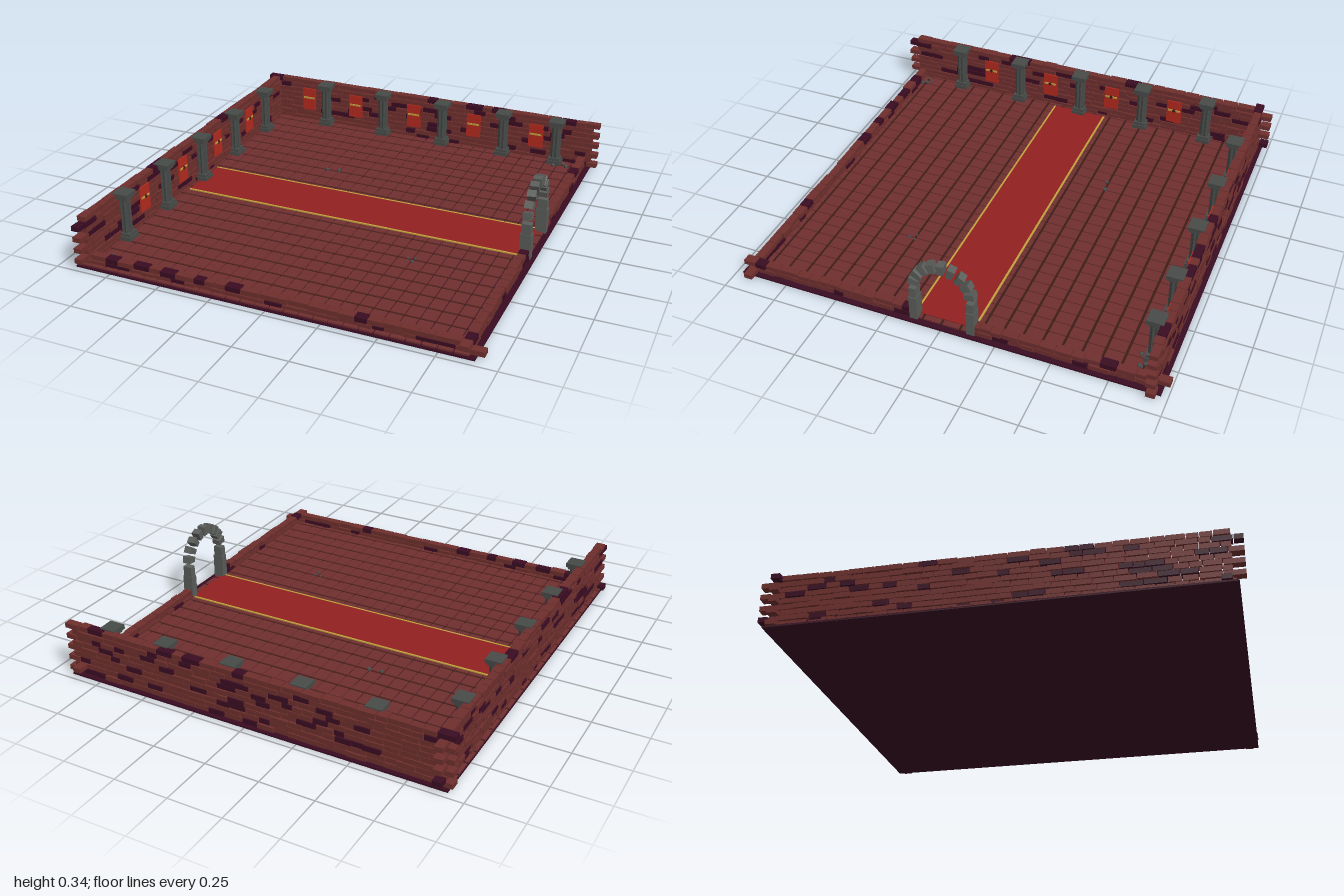
import * as THREE from 'three';
import { mergeGeometries } from 'three/addons/utils/BufferGeometryUtils.js';

const mat = (name, color, flatShading = false) => {
  const m = new THREE.MeshStandardMaterial({ color, flatShading });
  m.name = name;
  return m;
};

// Small seeded generator for irregular masonry
let seed = 7;
const rnd = () => {
  seed = (seed * 16807) % 2147483647;
  return seed / 2147483647;
};
const range = (a, b) => a + (b - a) * rnd();

const box = (w, h, d, x, y, z) => new THREE.BoxGeometry(w, h, d).translate(x, y, z);

export function createModel() {
  const M = {
    brick: mat('brick red', 0x6e2f2d),
    darkBrick: mat('dark purple brick', 0x3a0c22),
    tile: mat('floor tile', 0x702f2f),
    grout: mat('brown grout', 0x3c1c16),
    carpet: mat('carpet red', 0x922021),
    banner: mat('banner red', 0xb52a1e),
    gold: mat('gold', 0xc2a03c),
    stone: mat('grey stone', 0x474b48, true),
    lightStone: mat('arch stone', 0x5a5d59, true),
  };
  const model = new THREE.Group();
  model.name = 'throneHall';
  const add = (name, geos, material, parent = model) => {
    const mesh = new THREE.Mesh(Array.isArray(geos) ? mergeGeometries(geos) : geos, material);
    mesh.name = name;
    parent.add(mesh);
    return mesh;
  };

  // Floor slab, tiles and row joints
  add('baseSlab', box(1.82, 0.008, 1.94, -0.01, 0.004, 0), M.darkBrick);
  const tiles = [], joints = [];
  const x0 = -0.92, x1 = 0.875, z0 = -0.95, z1 = 0.965, cols = 27, rows = 22;
  const px = (x1 - x0) / cols, pz = (z1 - z0) / rows;
  for (let r = 0; r < rows; r++) {
    const z = z0 + (r + 0.5) * pz;
    for (let c = 0; c < cols; c++) {
      tiles.push(box(px - 0.006, 0.008, pz - 0.012, x0 + (c + 0.5) * px, 0.011, z));
    }
    if (r > 0) joints.push(box(x1 - x0, 0.004, 0.012, (x0 + x1) / 2, 0.009, z - pz / 2));
  }
  add('floorTiles', tiles, M.tile);
  add('floorJoints', joints, M.grout);

  // Carpet with gold borders
  add('carpet', box(1.69, 0.004, 0.265, 0, 0.017, 0), M.carpet);
  add('carpetTrim', [-1, 1].map(s => box(1.69, 0.005, 0.009, 0, 0.0175, s * 0.136)), M.gold);

  // Brick walls: courses with open joints and interlocking corners
  const pitch = 0.0265, gap = 0.004;
  const wall = (name, along, pos, courses, longSpan, shortSpan, parity, skip = 0) => {
    const red = [], dark = [];
    for (let r = 0; r < courses; r++) {
      const [a, b] = r % 2 === parity ? longSpan : shortSpan;
      const runs = skip ? [[a, -skip], [skip, b]] : [[a, b]];
      for (const [start, end] of runs) {
        let s = start;
        while (s < end - 0.001) {
          let len = range(0.045, 0.095);
          if (end - s - len < 0.035) len = end - s;
          const h = pitch - gap, y = 0.008 + r * pitch + h / 2;
          const d = range(0.034, 0.044), mid = s + len / 2, p = pos + range(-0.003, 0.003);
          const g = along === 'x'
            ? box(len - gap, h, d, mid, y, p)
            : box(d, h, len - gap, p, y, mid);
          (rnd() < 0.2 ? dark : red).push(g);
          s += len;
        }
      }
    }
    const group = new THREE.Group();
    group.name = name;
    add(name + 'RedBricks', red, M.brick, group);
    add(name + 'DarkBricks', dark, M.darkBrick, group);
    model.add(group);
  };
  const longX = [-0.935, 0.933], shortX = [-0.862, 0.834];
  const longZ = [-1, 1], shortZ = [-0.908, 0.9];
  wall('backWall', 'x', -0.93, 9, longX, [-0.862, 0.9], 0);
  wall('sideWall', 'z', -0.884, 9, longZ, [-0.908, 0.95], 1);
  wall('frontLowWall', 'x', 0.922, 2, longX, shortX, 0);
  wall('entranceLowWall', 'z', 0.856, 2, [-1, 0.975], shortZ, 1, 0.115);

  // Fluted pillars with stepped bases and capitals
  const pillar = (x, z) => {
    const shaft = new THREE.CylinderGeometry(0.024, 0.024, 0.19, 16, 1);
    const p = shaft.attributes.position;
    for (let i = 0; i < p.count; i++) {
      const a = Math.atan2(p.getX(i), p.getZ(i));
      const flute = Math.abs(Math.round(a / (Math.PI / 8))) % 2 ? 1.08 : 0.86;
      p.setXYZ(i, p.getX(i) * flute, p.getY(i), p.getZ(i) * flute);
    }
    shaft.translate(0, 0.13, 0);
    add('pillar', [
      shaft,
      box(0.07, 0.02, 0.07, 0, 0.025, 0),
      box(0.06, 0.014, 0.06, 0, 0.042, 0),
      box(0.058, 0.014, 0.058, 0, 0.222, 0),
      box(0.075, 0.02, 0.075, 0, 0.238, 0),
    ], M.stone).position.set(x, 0, z);
  };
  [-0.573, -0.235, 0.103, 0.44, 0.722].forEach(x => pillar(x, -0.885));
  [-0.677, -0.339, 0, 0.339, 0.677].forEach(z => pillar(-0.847, z));

  // Wall banners with a gold band; the side ones carry a dark emblem
  const banner = (x, z, turn, emblem) => {
    const g = new THREE.Group();
    g.name = 'banner';
    add('bannerCloth', box(0.076, 0.125, 0.006, 0, 0.138, 0), M.banner, g);
    add('bannerBand', box(0.062, 0.009, 0.006, 0, 0.147, 0.004), M.gold, g);
    if (emblem) {
      const d = box(0.014, 0.014, 0.006, 0, 0, 0).rotateZ(Math.PI / 4).translate(0, 0.147, 0.006);
      add('bannerEmblem', d, M.grout, g);
    }
    g.position.set(x, 0, z);
    g.rotation.y = turn;
    model.add(g);
  };
  [-0.685, -0.405, -0.065, 0.272, 0.61].forEach(x => banner(x, -0.902, 0, false));
  [-0.508, -0.17, 0.17, 0.508].forEach(z => banner(-0.855, z, Math.PI / 2, true));

  // Entrance arch: two posts and a ring of separate stones
  const arch = new THREE.Group();
  arch.name = 'entranceArch';
  for (const s of [-1, 1]) {
    add('archPost', [
      box(0.052, 0.12, 0.036, 0, 0.07, s * 0.132),
      box(0.044, 0.05, 0.032, 0, 0.155, s * 0.132),
    ], M.lightStone, arch);
  }
  const stones = [];
  for (let i = 0; i < 9; i++) {
    const a = Math.PI * (0.06 + 0.88 * i / 8);
    const stone = new THREE.BoxGeometry(0.04, 0.046, 0.034);
    const p = stone.attributes.position;
    // Wedge: narrower on the inside of the ring
    for (let k = 0; k < p.count; k++) if (p.getY(k) < 0) p.setZ(k, p.getZ(k) * 0.75);
    stone.rotateY(range(-0.15, 0.15)).rotateX(Math.PI / 2 - a + range(-0.08, 0.08));
    stones.push(stone.translate(0, 0.19 + 0.13 * Math.sin(a), 0.13 * Math.cos(a)));
  }
  add('archStones', stones, M.lightStone, arch);
  arch.position.x = 0.857;
  model.add(arch);

  // Scattered rubble
  const rubble = [];
  for (const [x, z, n] of [[-0.29, -0.35, 3], [0.39, 0.375, 3], [-0.81, 0.87, 5], [0.76, -0.85, 4]]) {
    for (let i = 0; i < n; i++) {
      const s = range(0.006, 0.011);
      rubble.push(new THREE.DodecahedronGeometry(s, 0)
        .translate(x + range(-0.035, 0.035), 0.015 + s * 0.6, z + range(-0.025, 0.025)));
    }
  }
  add('rubble', rubble, M.stone);

  return model;
}
